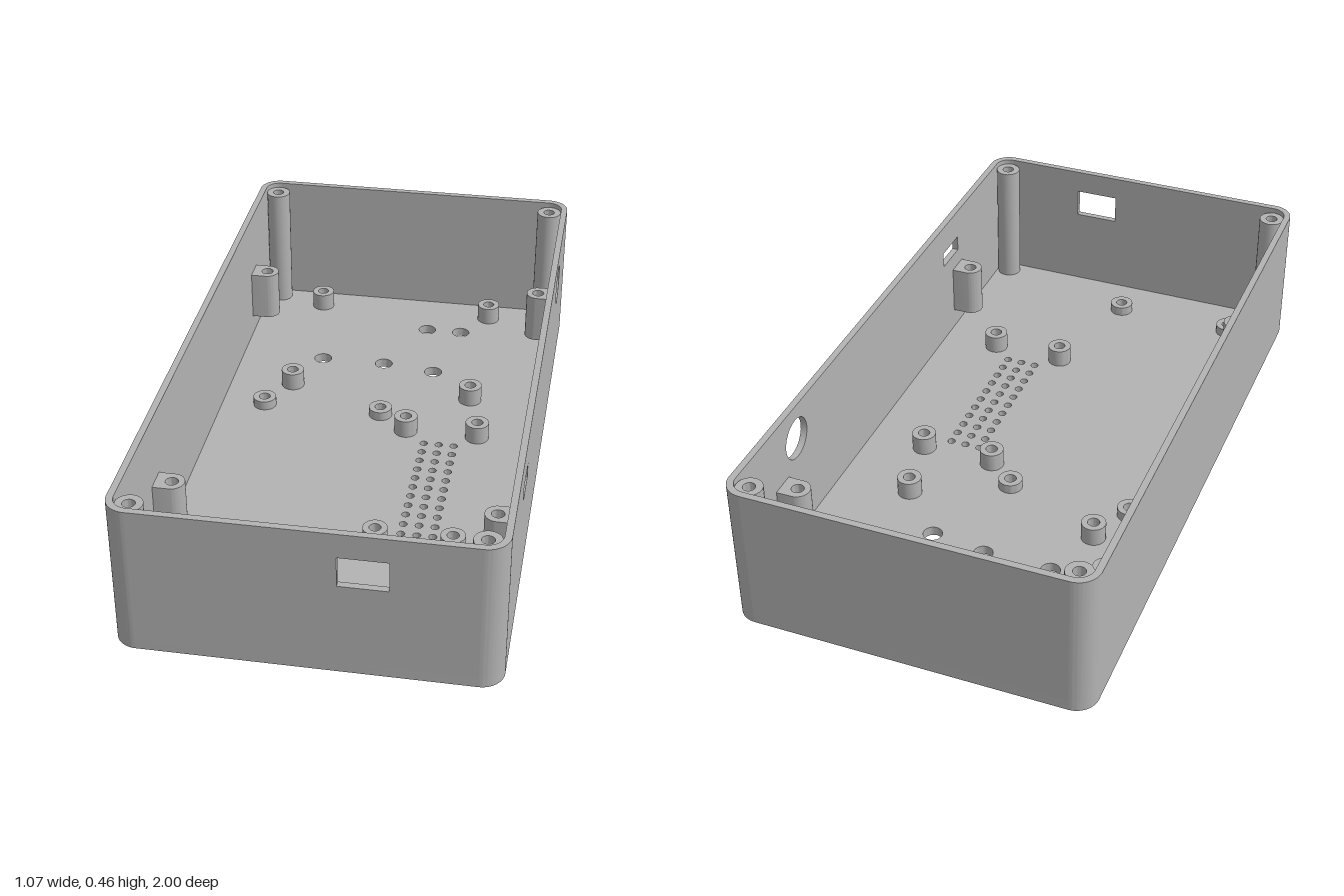
import * as THREE from 'three';
import { toCreasedNormals } from 'three/addons/utils/BufferGeometryUtils.js';

const W = 0.533, L = 1, H = 0.455;      // half width, half length, height
const R = 0.065, T = 0.02, FLOOR = 0.03; // corner radius, wall, floor thickness

function roundedRect(x0, x1, y0, y1, r, Type = THREE.Shape) {
  const s = new Type();
  s.moveTo(x0 + r, y0);
  s.lineTo(x1 - r, y0);
  s.absarc(x1 - r, y0 + r, r, -Math.PI / 2, 0, false);
  s.lineTo(x1, y1 - r);
  s.absarc(x1 - r, y1 - r, r, 0, Math.PI / 2, false);
  s.lineTo(x0 + r, y1);
  s.absarc(x0 + r, y1 - r, r, Math.PI / 2, Math.PI, false);
  s.lineTo(x0, y0 + r);
  s.absarc(x0 + r, y0 + r, r, Math.PI, Math.PI * 1.5, false);
  return s;
}

function rect(x0, x1, y0, y1, Type = THREE.Shape) {
  const s = new Type();
  s.moveTo(x0, y0);
  s.lineTo(x1, y0);
  s.lineTo(x1, y1);
  s.lineTo(x0, y1);
  s.closePath();
  return s;
}

function circle(x, y, r, Type = THREE.Path) {
  const s = new Type();
  s.absarc(x, y, r, 0, Math.PI * 2, false);
  return s;
}

export function createModel() {
  const model = new THREE.Group();
  const plastic = new THREE.MeshStandardMaterial({ color: 0xb3b3b3 });
  plastic.name = 'grey plastic';

  const extrude = (shape, depth) =>
    new THREE.ExtrudeGeometry(shape, { depth, bevelEnabled: false, curveSegments: 12 });
  function add(name, geometry) {
    const mesh = new THREE.Mesh(toCreasedNormals(geometry, 0.6), plastic);
    mesh.name = name;
    model.add(mesh);
    return mesh;
  }
  // Plan shape (x, z) raised between two heights
  const addPlan = (name, shape, y0, y1) =>
    add(name, extrude(shape, y1 - y0).rotateX(Math.PI / 2).translate(0, y1, 0));

  // Through holes in the floor
  const floorHoles = [
    [0.082, -0.78], [0.199, -0.78], [-0.241, -0.53], [-0.032, -0.53], [0.14, -0.504],
  ].map(([x, z]) => circle(x, z, 0.029));
  for (let i = 0; i < 3; i++) {
    for (let j = 0; j < 11; j++) {
      floorHoles.push(circle(0.17 + i * 0.0475, -0.073 + j * 0.0481, 0.012));
    }
  }

  // Floor in two layers, the lower one cut away for the underside recess
  const lower = roundedRect(-W, W, -L, L, R);
  lower.holes.push(...floorHoles.filter((h) => h.curves[0].aX > 0.1 || h.curves[0].aY < 0));
  lower.holes.push(roundedRect(-0.446, 0.085, 0.1, 0.925, 0.025, THREE.Path));
  addPlan('floorLower', lower, 0, 0.015);
  const upper = roundedRect(-W, W, -L, L, R);
  upper.holes.push(...floorHoles, circle(-0.374, 0.833, 0.016), circle(0.008, 0.833, 0.016));
  addPlan('floorUpper', upper, 0.015, FLOOR);

  // Front and back walls, the front with a rectangular port
  const front = rect(-W + R, W - R, FLOOR, H);
  front.holes.push(rect(0.09, 0.228, 0.288, 0.38, THREE.Path));
  add('frontWall', extrude(front, T).translate(0, 0, L - T));
  add('backWall', extrude(rect(-W + R, W - R, FLOOR, H), T).translate(0, 0, -L));

  // Side walls, drawn with -z as the horizontal axis
  const left = rect(-L + R, L - R, FLOOR, H);
  left.holes.push(circle(0.597, 0.348, 0.064));
  left.holes.push(rect(-0.578, -0.46, 0.31, 0.36, THREE.Path));
  add('leftWall', extrude(left, T).rotateY(Math.PI / 2).translate(W - T, 0, 0));
  add('rightWall', extrude(rect(-L + R, L - R, FLOOR, H), T).rotateY(Math.PI / 2).translate(-W, 0, 0));

  // Rounded wall corners with a screw pillar in each
  for (const sx of [-1, 1]) {
    for (const sz of [-1, 1]) {
      const a = Math.atan2(sz, sx) - Math.PI / 4;
      const cx = sx * (W - R), cz = sz * (L - R);
      const corner = new THREE.Shape();
      corner.absarc(cx, cz, R, a, a + Math.PI / 2, false);
      corner.absarc(cx, cz, R - T, a + Math.PI / 2, a, true);
      corner.closePath();
      addPlan('wallCorner', corner, FLOOR, H);

      const pillar = circle(sx * 0.472, sz * 0.938, 0.039, THREE.Shape);
      pillar.holes.push(circle(sx * 0.472, sz * 0.938, 0.018));
      addPlan('cornerPillar', pillar, FLOOR, H - 0.015);
    }
  }

  // Standoffs on the floor: x, z, height
  const tall = 0.058, short = 0.03;
  const standoffs = [
    [-0.308, -0.891, tall], [0.283, -0.891, tall], [-0.308, -0.35, tall], [0.283, -0.35, tall],
    [0.103, -0.133, tall], [0.331, -0.133, tall], [0.103, 0.467, tall], [0.331, 0.467, tall],
    [-0.374, -0.215, short], [0.008, -0.215, short], [-0.374, 0.833, short], [0.008, 0.833, short],
  ];
  for (const [x, z, h] of standoffs) {
    const ring = circle(x, z, 0.037, THREE.Shape);
    ring.holes.push(circle(x, z, 0.018));
    addPlan('standoff', ring, FLOOR, FLOOR + h);
  }

  // Screw bosses on the side walls, rounded towards the inside
  function bossShape(s, z) {
    const shape = new THREE.Shape();
    const x = s * 0.465, r = 0.038;
    shape.moveTo(s * (W - T), z - r);
    shape.lineTo(x, z - r);
    shape.absarc(x, z, r, -Math.PI / 2, Math.PI / 2, s > 0);
    shape.lineTo(s * (W - T), z + r);
    shape.closePath();
    return shape;
  }
  for (const s of [-1, 1]) {
    for (const z of [-0.7, 0.57]) {
      const body = bossShape(s, z);
      body.holes.push(circle(s * 0.465, z, 0.019));
      addPlan('sideBoss', body, 0.11, 0.255);
      addPlan('sideBossBase', bossShape(s, z), 0.095, 0.11);
    }
  }

  return model;
}
